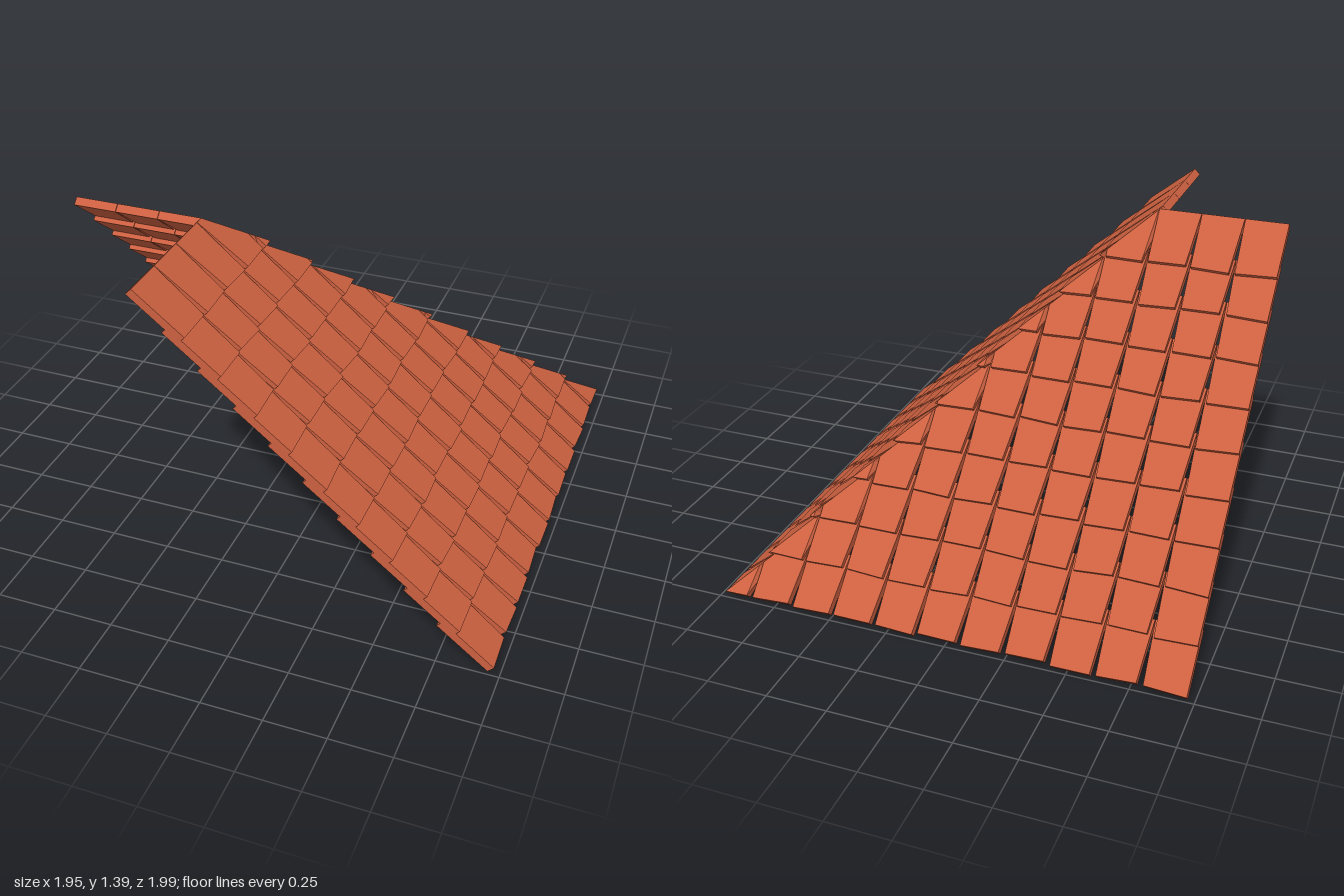
import * as THREE from 'three';
import { mergeGeometries } from 'three/addons/utils/BufferGeometryUtils.js';

const ROWS = 10, STEP = 0.188, LENGTH = 0.256, EAVE = -0.658;
const WIDTH = 0.183, THICK = 0.035, GAP = 0.013, LIFT = 0.028, OUTER = 0.714;

// Each slope uses u (along the eave), s (up the slope) and n (outwards).
// run() and rise() turn s and n into horizontal reach and height at 45 degrees.
const run = (s, n) => (n - s) * Math.SQRT1_2;
const rise = (s, n) => (n + s) * Math.SQRT1_2;

function makeRandom(seed) {
  return () => {
    seed = (seed * 16807) % 2147483647;
    return seed / 2147483647;
  };
}

// Cuts a polygon of [u, s] points where keep(point) drops below zero.
function clip(points, keep) {
  const out = [];
  points.forEach((a, i) => {
    const b = points[(i + 1) % points.length];
    const ka = keep(a), kb = keep(b);
    if (ka >= 0) out.push(a);
    if (ka * kb < 0) {
      const t = ka / (ka - kb);
      out.push([a[0] + (b[0] - a[0]) * t, a[1] + (b[1] - a[1]) * t]);
    }
  });
  return out;
}

// One tapered tile, tilted outwards at its lower edge and mitred at the hip.
function tileGeometry(corners, s0, side, place) {
  const top = (s) => OUTER - (LIFT * (s - s0)) / LENGTH;
  const outline = clip(corners, ([u, s]) => run(s, top(s)) - u);
  if (outline.length < 3) return null;
  const shape = new THREE.Shape(outline.map(([u, s]) => new THREE.Vector2(side * u, s)));
  const geometry = new THREE.ExtrudeGeometry(shape, { depth: THICK, bevelEnabled: false });
  const pos = geometry.attributes.position;
  for (let i = 0; i < pos.count; i++) {
    const s = pos.getY(i);
    const n = top(s) - THICK + pos.getZ(i);
    const q = run(s, n);
    const u = Math.min(side * pos.getX(i), q);
    pos.setXYZ(i, ...place(u, rise(s, n), q));
  }
  geometry.computeVertexNormals();
  return geometry;
}

// One roof slope, built as overlapping rows of tiles ending at the hip.
function buildSlope(name, start, side, seed, place, material) {
  const slope = new THREE.Group();
  slope.name = name;
  const random = makeRandom(seed);
  const jitter = (size) => (random() - 0.5) * size;
  for (let row = 0; row < ROWS; row++) {
    const s0 = EAVE + row * STEP, s1 = s0 + LENGTH;
    const tiles = [];
    for (let col = 0; col < 11; col++) {
      const left = start + col * WIDTH, right = left + WIDTH;
      const corners = [
        [left + (col ? GAP + jitter(0.006) : 0), s0 + jitter(0.014)],
        [right - GAP + jitter(0.006), s0 + jitter(0.014)],
        [right - 0.001, s1],
        [left + (col ? 0.001 : 0), s1],
      ];
      const tile = tileGeometry(corners, s0, side, place);
      if (tile) tiles.push(tile);
    }
    const mesh = new THREE.Mesh(mergeGeometries(tiles), material);
    mesh.name = `${name}TileRow${row + 1}`;
    slope.add(mesh);
  }
  return slope;
}

export function createModel() {
  const terracotta = new THREE.MeshStandardMaterial({ color: 0xcc6040 });
  terracotta.name = 'terracotta';
  const roof = new THREE.Group();
  roof.name = 'cornerRoof';
  // Back slope falls towards -z, left slope falls towards +x.
  roof.add(buildSlope('backSlope', -0.972, -1, 71, (u, y, q) => [u, y, -q - 0.03], terracotta));
  roof.add(buildSlope('leftSlope', -1.015, 1, 1234, (u, y, q) => [q, y, -u - 0.03], terracotta));
  return roof;
}
